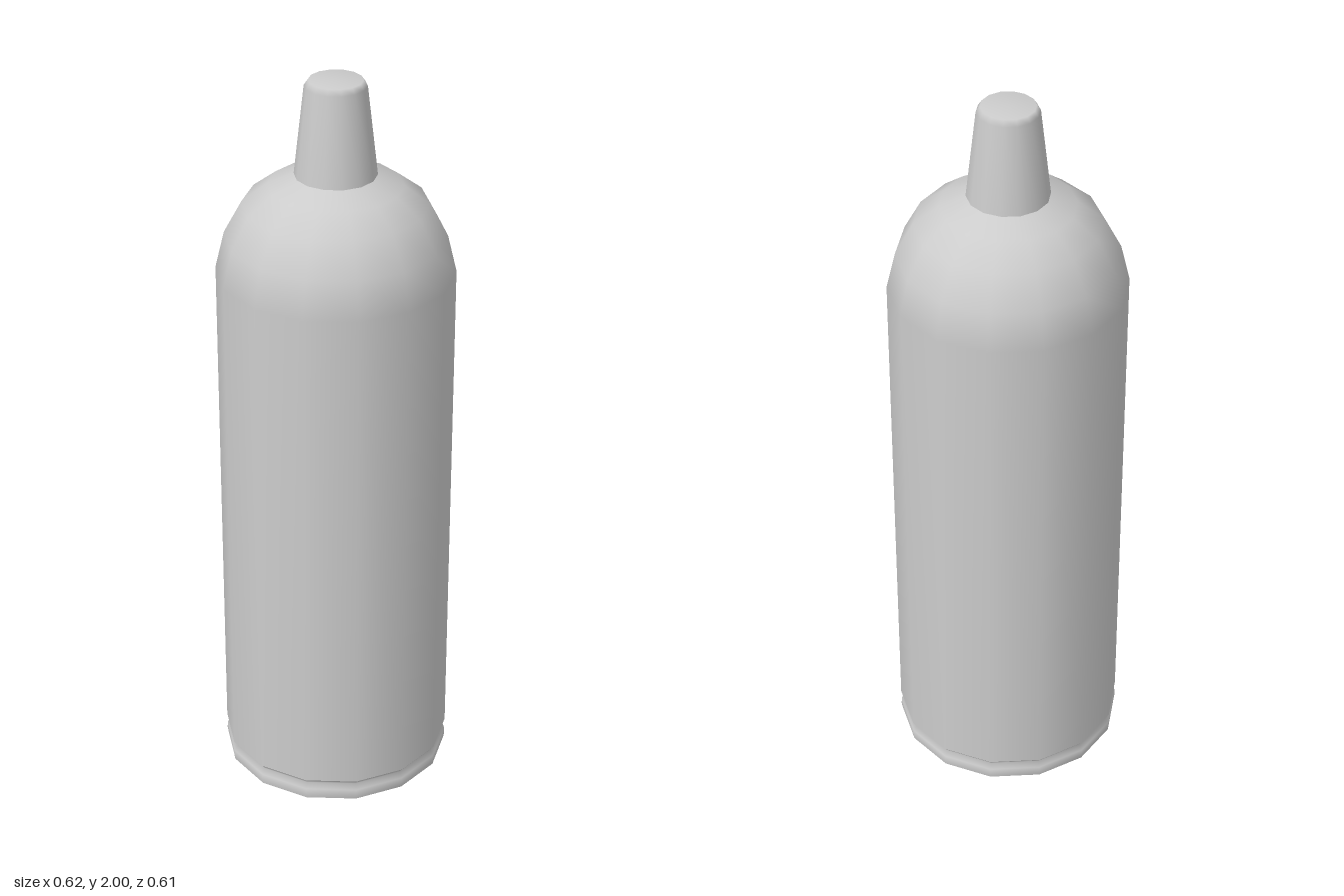
import * as THREE from 'three';

const SIDES = 14;

export function createModel() {
  const group = new THREE.Group();
  const material = new THREE.MeshStandardMaterial({ color: 0xcccccc });

  // Spins a [radius, height] profile, with a corner of the polygon on +x
  const addTurned = (name, profile) => {
    const points = profile.map(([r, y]) => new THREE.Vector2(r, y));
    const geometry = new THREE.LatheGeometry(points, SIDES, Math.PI / 2);
    const mesh = new THREE.Mesh(geometry, material);
    mesh.name = name;
    group.add(mesh);
  };

  // Flat underside
  addTurned('base', [[0, 0], [0.31, 0]]);

  // Rolled rim with a shallow groove above it
  addTurned('bottomRim', [
    [0.31, 0], [0.312, 0.012], [0.311, 0.03], [0.3, 0.045], [0.312, 0.06],
  ]);

  // Straight can wall running into the domed shoulder
  addTurned('body', [
    [0.312, 0.06], [0.312, 1.48], [0.288, 1.58], [0.241, 1.667],
    [0.175, 1.718], [0.1, 1.75],
  ]);

  // Tapered nozzle with a softened top edge
  addTurned('nozzle', [
    [0.107, 1.747], [0.08, 1.985], [0.07, 2], [0, 2],
  ]);

  return group;
}
